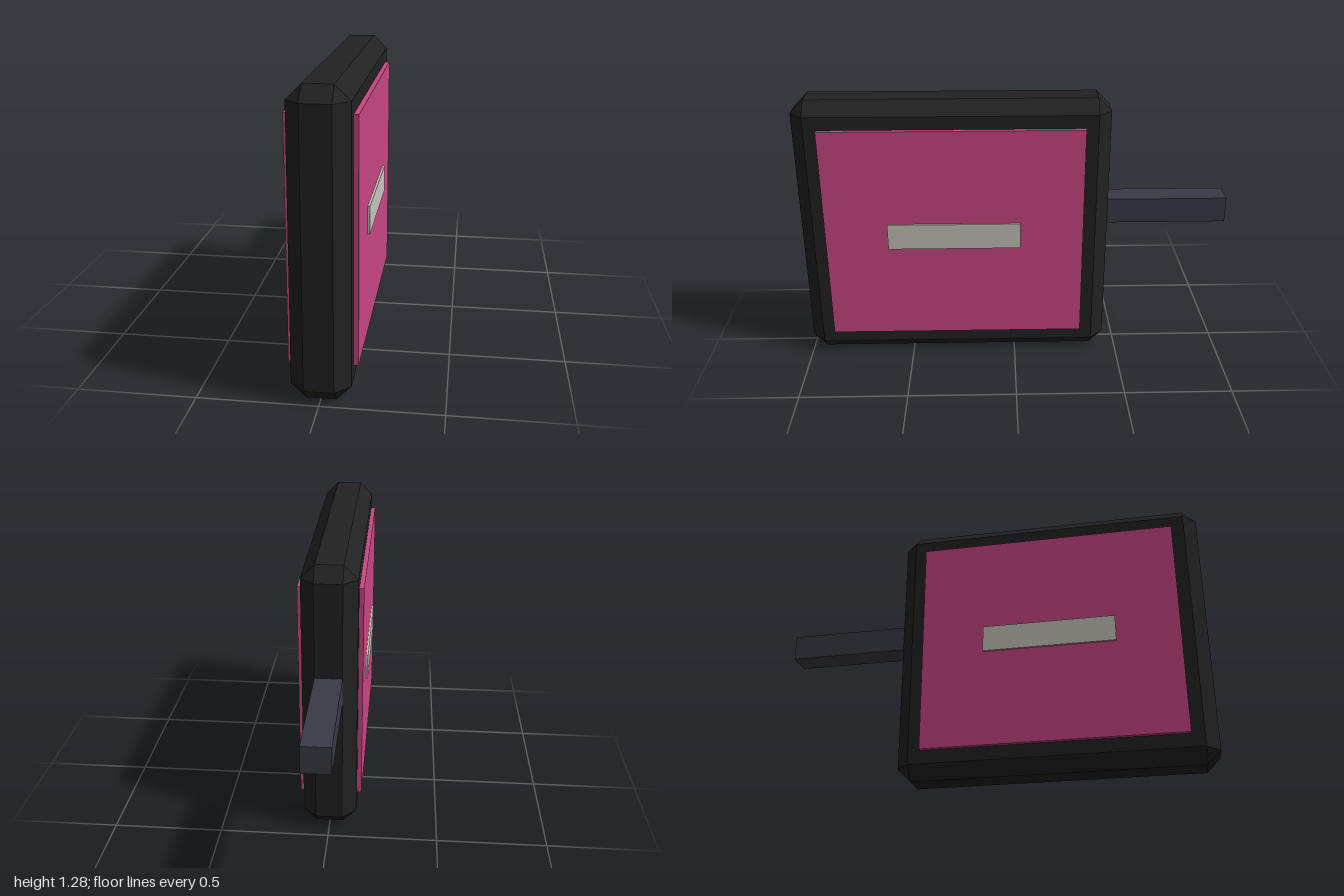
import * as THREE from 'three';
import { ConvexGeometry } from 'three/addons/geometries/ConvexGeometry.js';

const material = (name, color) => {
  const m = new THREE.MeshStandardMaterial({ color });
  m.name = name;
  return m;
};

// Box with every edge and corner cut flat by the bevel b
function chamferedBox(w, h, d, b) {
  const points = [];
  for (const sx of [-1, 1]) for (const sy of [-1, 1]) for (const sz of [-1, 1]) {
    const x = w / 2, y = h / 2, z = d / 2;
    points.push(
      new THREE.Vector3(sx * x, sy * (y - b), sz * (z - b)),
      new THREE.Vector3(sx * (x - b), sy * y, sz * (z - b)),
      new THREE.Vector3(sx * (x - b), sy * (y - b), sz * z)
    );
  }
  return new ConvexGeometry(points);
}

export function createModel() {
  const black = material('black', 0x222222);
  const pink = material('pink', 0xc94783);
  const pale = material('pale grey', 0xc9c5bc);
  const slate = material('slate', 0x3a3a46);

  const group = new THREE.Group();
  group.name = 'paddle';
  const add = (name, geometry, mat, x, y, z) => {
    const mesh = new THREE.Mesh(geometry, mat);
    mesh.name = name;
    mesh.position.set(x, y, z);
    group.add(mesh);
  };

  // Chamfered slab and the bar behind it
  add('body', chamferedBox(0.246, 1.28, 1.44, 0.062), black, 0, 0.64, 0.28);
  add('handle', new THREE.BoxGeometry(0.123, 0.12, 0.6), slate, 0, 0.725, -0.7);

  // Raised panel with a bar on each side
  for (const [side, s] of [['left', 1], ['right', -1]]) {
    add(side + 'Panel', new THREE.BoxGeometry(0.024, 1.032, 1.2), pink, s * 0.132, 0.641, 0.28);
    add(side + 'Bar', new THREE.BoxGeometry(0.014, 0.124, 0.617), pale, s * 0.147, 0.643, 0.281);
  }
  return group;
}
